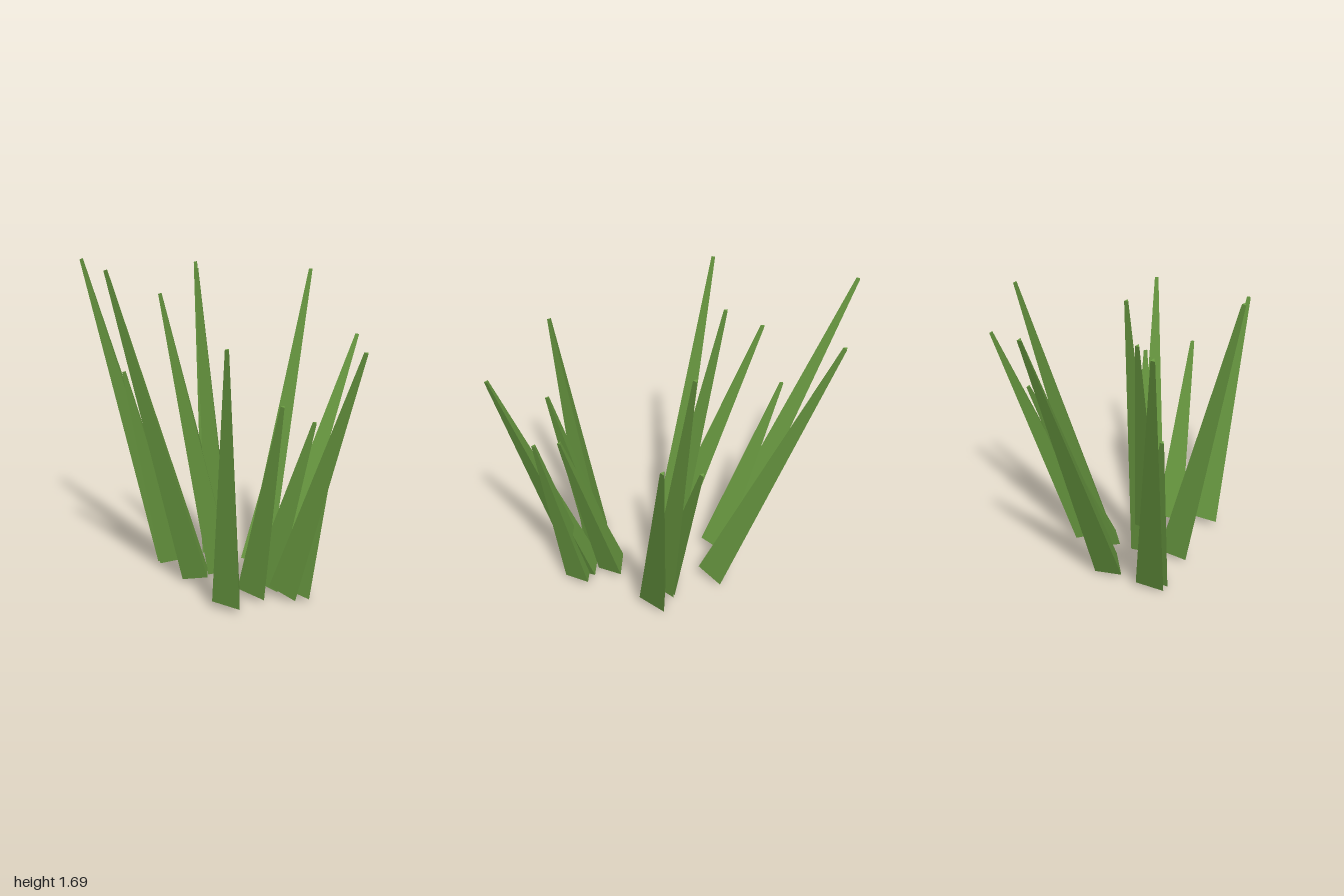
import * as THREE from 'three';

const BASE_Y = 0.04, BASE_RADIUS = 0.094, TIP_RADIUS = 0.013;

// Each blade: root x, root z, then tip x, y, z
const BLADES = [
  [-0.28, 0.04, -0.985, 1.685, -0.1],
  [-0.245, 0.07, -0.615, 1.075, 0.02],
  [-0.105, -0.165, -0.55, 1.645, -0.655],
  [0, 0.225, -0.41, 1.695, 0.465],
  [0.09, 0.1, -0.425, 1.52, -0.07],
  [0.07, 0.075, -0.195, 1.67, -0.085],
  [0.17, -0.125, 0.183, 1.065, -0.565],
  [0.19, -0.145, 0.243, 1.645, -0.605],
  [0.29, -0.225, 0.48, 1.275, -0.735],
  [0.345, 0.485, 0.47, 1.39, 0.735],
  [0.38, 0.285, 0.615, 1.08, 0.445],
  [0.385, 0.145, 0.66, 0.955, 0.175],
  [0.58, 0.165, 0.795, 0.965, 0.198],
  [0.52, 0.2, 0.985, 1.355, 0.3],
];

// Three-sided tapering spike standing on its root and leaning to its tip
function makeBlade([x, z, tipX, tipY, tipZ], material) {
  const lean = new THREE.Vector3(tipX - x, tipY - BASE_Y, tipZ - z);
  const length = lean.length();
  lean.normalize();
  const geometry = new THREE.CylinderGeometry(
    TIP_RADIUS, BASE_RADIUS, length, 3, 1, false, Math.PI
  ).toNonIndexed();
  geometry.translate(0, length / 2, 0);
  geometry.computeVertexNormals();
  const blade = new THREE.Mesh(geometry, material);
  blade.position.set(x, BASE_Y, z);
  blade.rotation.set(Math.asin(lean.z), 0, Math.atan2(-lean.x, lean.y), 'ZYX');
  return blade;
}

export function createModel() {
  const group = new THREE.Group();
  group.name = 'grassTuft';
  const green = new THREE.MeshStandardMaterial({ color: 0x689840, flatShading: true });
  green.name = 'grassGreen';
  BLADES.forEach((spec, i) => {
    const blade = makeBlade(spec, green);
    blade.name = `grassBlade${i + 1}`;
    group.add(blade);
  });
  return group;
}
